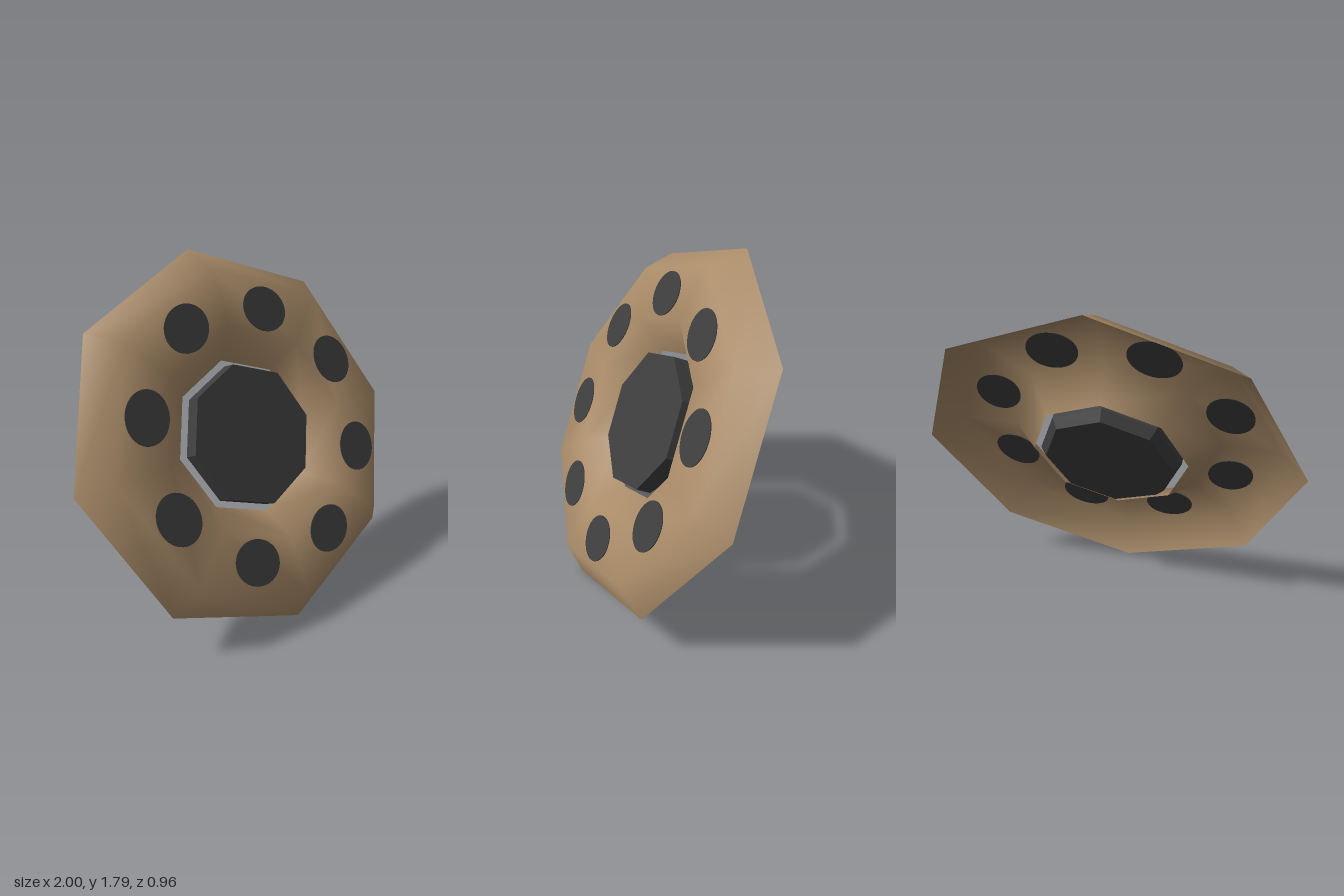
import * as THREE from 'three';

const SIDES = 8;
const profile = (pts) => pts.map(([r, h]) => new THREE.Vector2(r, h));

export function createModel() {
  const model = new THREE.Group();
  model.name = 'tiltedRing';

  const tan = new THREE.MeshStandardMaterial({ color: 0xa98b68, side: THREE.DoubleSide });
  tan.name = 'tan';
  const darkGrey = new THREE.MeshStandardMaterial({ color: 0x3d3d3d });
  darkGrey.name = 'darkGrey';

  // everything is built around the y axis, then leaned back
  const dial = new THREE.Group();
  dial.name = 'dial';
  dial.position.set(0, 0.895, -0.035);
  dial.rotation.x = 1.11;
  model.add(dial);

  const add = (name, geometry, material) => {
    const mesh = new THREE.Mesh(geometry, material);
    mesh.name = name;
    dial.add(mesh);
    return mesh;
  };

  // smooth octagonal shell, open at the back
  const top = 0.152;
  add('ringShell', new THREE.LatheGeometry(
    profile([[1, 0], [0.854, top], [0.556, top], [0.41, 0]]), SIDES), tan);

  // faceted hub with a bevelled back
  const hub = new THREE.LatheGeometry(
    profile([[0, -0.04], [0.335, -0.04], [0.375, 0.01], [0.373, 0.09], [0, 0.09]]), SIDES).toNonIndexed();
  hub.computeVertexNormals();
  add('hub', hub, darkGrey);

  // thin oval spots showing on both faces of the shell
  const spot = new THREE.CylinderGeometry(1, 1, 0.008, 40);
  for (let i = 0; i < SIDES; i++) {
    const a = (i + 0.5) * Math.PI * 2 / SIDES;
    const mesh = add('spot' + (i + 1), spot, darkGrey);
    mesh.position.set(0.65 * Math.sin(a), top, 0.65 * Math.cos(a));
    mesh.rotation.y = a;
    mesh.scale.set(0.134, 1, 0.117);
  }
  return model;
}
